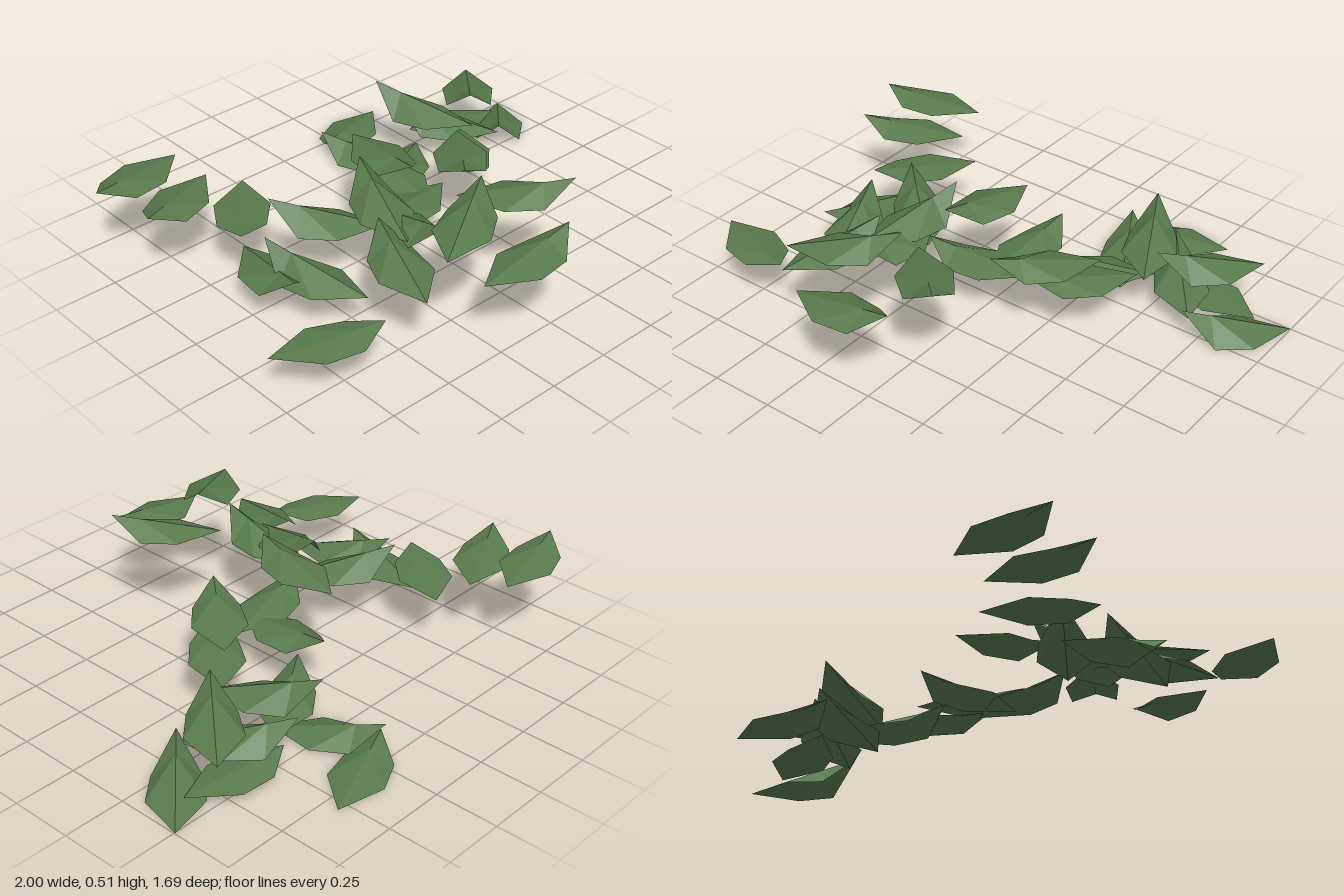
import * as THREE from 'three';

const LENGTH = 0.42;

// Each leaf: tip x, tip z, heading in degrees (stem to tip, from +x towards +z), rim height, rise of the tip
const LEAVES = [
  // left cluster
  [-1, -0.56, 167, 0.315, 0.045],
  [-0.94, -0.33, 155, 0.28, 0.055],
  [-0.7, -0.11, 128, 0.235, 0.025],
  [-0.7, 0.19, 102, 0.125, 0.09],
  [-0.65, -0.04, -109, 0.15, 0.12],
  [-0.54, -0.155, -138, 0.215, 0.115],
  // front cluster
  [-0.21, -0.03, -72, 0.31, 0.12],
  [-0.27, 0.48, 93, 0.28, 0.11],
  [-0.07, 0.455, -30, 0.42, 0.09],
  [-0.36, 0.24, -71, 0.27, 0.09],
  [0.09, 0.73, -1, 0.31, 0.07],
  [0.215, 0.64, 44, 0.385, 0.08],
  [-0.6, 0.545, 19, 0.17, 0.03],
  // middle cluster
  [-0.12, 0.155, 100, 0.36, 0.07],
  [0.07, -0.33, -86, 0.175, 0.065],
  [-0.24, 0.1, 168, 0.175, 0.065],
  [0.115, 0.19, 130, 0.26, 0.07],
  [0.22, 0.1, 130, 0.19, 0.05],
  // right rear cluster
  [0.08, -0.21, 149, 0.055, 0.085],
  [0.15, -0.67, 160, 0.003, 0.057],
  [0.16, -0.7, -117, 0.01, 0.09],
  [0.7, -0.205, 135, 0, 0.125],
  [0.56, -0.235, 132, 0.205, 0.105],
  [0.35, -0.57, -116, 0.2, 0.12],
  [0.45, -0.55, -129, 0.085, 0.12],
  [0.47, -0.5, -170, 0.04, 0.035],
];

// Folded blade with its tip at x = 0: flat rim, straight ridge climbing to the tip at height 1
function bladeGeometry() {
  // fraction of length, half width, rim height
  const sections = [[0, 0, 0], [0.4, 0.105, 0], [0.74, 0.09, 0], [1, 0, 1]];
  const rows = sections.map(([t, w, rim]) => {
    const x = (t - 1) * LENGTH;
    return [[x, rim, w], [x, t, 0], [x, rim, -w]];
  });
  const positions = [];
  const addFace = (...corners) => positions.push(...corners.flat());
  for (let i = 0; i < 3; i++) {
    const [left, ridge, right] = rows[i];
    const [nextLeft, nextRidge, nextRight] = rows[i + 1];
    // the stem and the tip are single points, so only one triangle per side meets them
    if (i < 2) {
      addFace(left, nextLeft, nextRidge);
      addFace(right, nextRidge, nextRight);
    }
    if (i > 0) {
      addFace(left, nextRidge, ridge);
      addFace(ridge, nextRidge, right);
    }
  }
  const geometry = new THREE.BufferGeometry();
  geometry.setAttribute('position', new THREE.Float32BufferAttribute(positions, 3));
  geometry.computeVertexNormals();
  return geometry;
}

export function createModel() {
  const group = new THREE.Group();
  group.name = 'scatteredLeaves';
  const leafGreen = new THREE.MeshStandardMaterial({
    color: 0x587a4c, flatShading: true, side: THREE.DoubleSide,
  });
  leafGreen.name = 'leafGreen';
  const blade = bladeGeometry();
  LEAVES.forEach(([x, z, heading, rimHeight, rise], i) => {
    const leaf = new THREE.Mesh(blade, leafGreen);
    leaf.name = `leaf${i + 1}`;
    leaf.position.set(x, rimHeight, z);
    leaf.rotation.y = -THREE.MathUtils.degToRad(heading);
    leaf.scale.y = rise;
    group.add(leaf);
  });
  return group;
}
